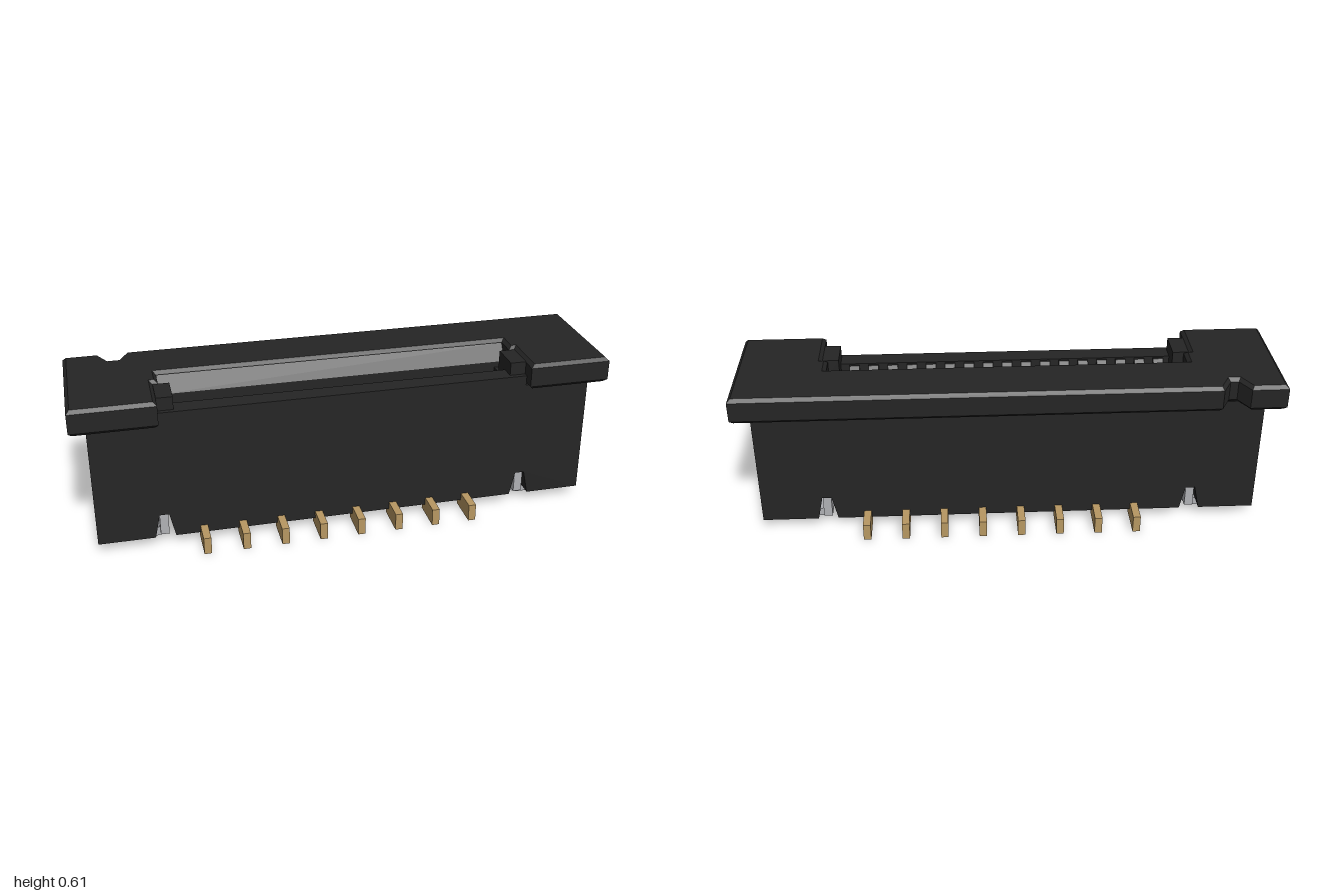
import * as THREE from 'three';

const black = new THREE.MeshStandardMaterial({ color: 0x252525 });
black.name = 'black plastic';
const gold = new THREE.MeshStandardMaterial({ color: 0xb89862 });
gold.name = 'gold contact';
const steel = new THREE.MeshStandardMaterial({ color: 0xb0b1b5 });
steel.name = 'grey steel';

const toShape = (pts) => new THREE.Shape(pts.map(([a, b]) => new THREE.Vector2(a, b)));

// Outline in x,y swept from z0 to z1
function sweepZ(pts, z0, z1) {
  return new THREE.ExtrudeGeometry(toShape(pts), { depth: z1 - z0, bevelEnabled: false }).translate(0, 0, z0);
}
// Outline in z,y swept from x0 to x1
function sweepX(pts, x0, x1) {
  const shape = toShape(pts.map(([z, y]) => [-z, y]));
  return new THREE.ExtrudeGeometry(shape, { depth: x1 - x0, bevelEnabled: false }).rotateY(Math.PI / 2).translate(x0, 0, 0);
}
function box(x0, x1, y0, y1, z0, z1) {
  return new THREE.BoxGeometry(x1 - x0, y1 - y0, z1 - z0).translate((x0 + x1) / 2, (y0 + y1) / 2, (z0 + z1) / 2);
}
// Right half outline completed by mirroring in x
const mirrored = (half) => [...half, ...half.map(([x, y]) => [-x, y]).reverse()];

export function createModel() {
  const model = new THREE.Group();
  const add = (name, geometry, material, parent = model) => {
    const mesh = new THREE.Mesh(geometry, material);
    mesh.name = name;
    parent.add(mesh);
    return mesh;
  };

  // Housing, in layers from back to front, each with the two clip notches below
  const layer = (name, z0, z1, w, top) => add(name, sweepZ(mirrored([
    [0.655, 0.037], [0.675, 0.13], [0.71, 0.13], [0.73, 0.037], [w, 0.037], [w, 0.507], ...top,
  ]), z0, z1), black);
  layer('housingBack', -0.183, -0.095, 0.94, []);
  layer('housingCore', -0.095, 0, 0.905, []);
  layer('housingSlot', 0, 0.11, 0.905, [[0.63, 0.507], [0.63, 0.16]]);
  layer('housingFront', 0.11, 0.183, 0.94, [[0.69, 0.507], [0.69, 0.545]]);

  // Slider cap with a back notch and a front opening
  const outline = [
    [-1, 0.225], [-0.69, 0.225], [-0.69, 0.04], [-0.67, 0.04], [-0.67, -0.04],
    [0.67, -0.04], [0.67, 0.04], [0.69, 0.04], [0.69, 0.225], [1, 0.225],
    [1, -0.255], [-0.765, -0.255], [-0.8, -0.19], [-0.83, -0.19], [-0.865, -0.255], [-1, -0.255],
  ];
  const cap = new THREE.ExtrudeGeometry(toShape(outline.map(([x, z]) => [x, -z])), {
    depth: 0.074, bevelEnabled: true, bevelSegments: 1, bevelSize: 0.013, bevelThickness: 0.013, bevelOffset: -0.013,
  }).rotateX(-Math.PI / 2).translate(0, 0.518, 0);
  add('sliderCap', cap, black);

  // Sloped lead-in at the back of the slot
  add('leadIn', sweepX([[-0.06, 0.51], [-0.06, 0.59], [-0.04, 0.59], [0, 0.53], [0, 0.5], [-0.06, 0.5]], -0.67, 0.67), black);

  for (const side of [-1, 1]) {
    const end = new THREE.Group();
    end.name = side > 0 ? 'leftEnd' : 'rightEnd';
    end.rotation.y = 0;
    model.add(end);
    const flip = (pts) => pts.map(([x, y]) => [x * side, y]);
    const span = (x0, x1, ...rest) => (side > 0 ? box(x0, x1, ...rest) : box(-x1, -x0, ...rest));

    // Slider arm in the end groove, flaring out under the cap
    const arm = [[0.88, 0.067], [0.917, 0.067], [0.917, 0.44]];
    for (let i = 1; i <= 6; i++) {
      const a = (i / 6) * Math.PI / 2;
      arm.push([0.917 + 0.04 * (1 - Math.cos(a)), 0.44 + 0.067 * Math.sin(a)]);
    }
    arm.push([0.88, 0.507]);
    add('sliderArm', sweepZ(flip(arm), -0.07, 0.11), black, end);

    // Shoulder beside the slot opening
    add('shoulder', span(0.63, 0.69, 0.5, 0.595, 0.045, 0.165), black, end);

    // Bent steel hold-down clip with two tabs
    const bend = [[0.89, 0], [0.89, 0.03], [0.73, 0.03], [0.716, 0.034], [0.71, 0.045],
      [0.678, 0.045], [0.683, 0.02], [0.698, 0.005], [0.72, 0]];
    add('clipPlate', sweepZ(flip(bend), -0.11, 0.11), steel, end);
    add('clipUpright', span(0.678, 0.71, 0.04, 0.128, -0.17, 0.17), steel, end);
    for (const z of [-0.085, 0.085]) {
      add('clipTab', span(0.88, 0.94, 0, 0.03, z - 0.025, z + 0.025), steel, end);
    }
  }

  // Contacts: solder tails alternate front and back
  const pitch = 0.0728;
  const tail = [[0.278, 0], [0.278, 0.066], [0.09, 0.066], [0.09, 0.03], [0.11, 0.022], [0.137, 0.022], [0.144, 0.014], [0.144, 0]];
  for (let i = 0; i < 16; i++) {
    const x = -0.55 + i * pitch;
    const dir = i % 2 ? -1 : 1;
    const contact = new THREE.Group();
    contact.name = 'contact' + (i + 1);
    model.add(contact);
    add('solderTail', sweepX(tail.map(([z, y]) => [z * dir, y]), x - 0.014, x + 0.014), gold, contact);
    const foot = -0.09 * dir;
    add('contactFoot', box(x - 0.014, x + 0.014, 0.015, 0.06, foot - 0.027, foot + 0.027), gold, contact);
    add('contactBlade', box(x - 0.015, x + 0.015, 0.15, 0.46, 0.04, 0.112), gold, contact);
  }

  // Comb ribs between the contacts
  for (let i = 0; i <= 16; i++) {
    const x = -0.55 + (i - 0.5) * pitch;
    add('combRib', sweepX([[0.115, 0.15], [0.115, 0.54], [0.1, 0.54], [0.035, 0.45], [0.035, 0.15]], x - 0.019, x + 0.019), black);
  }
  return model;
}
